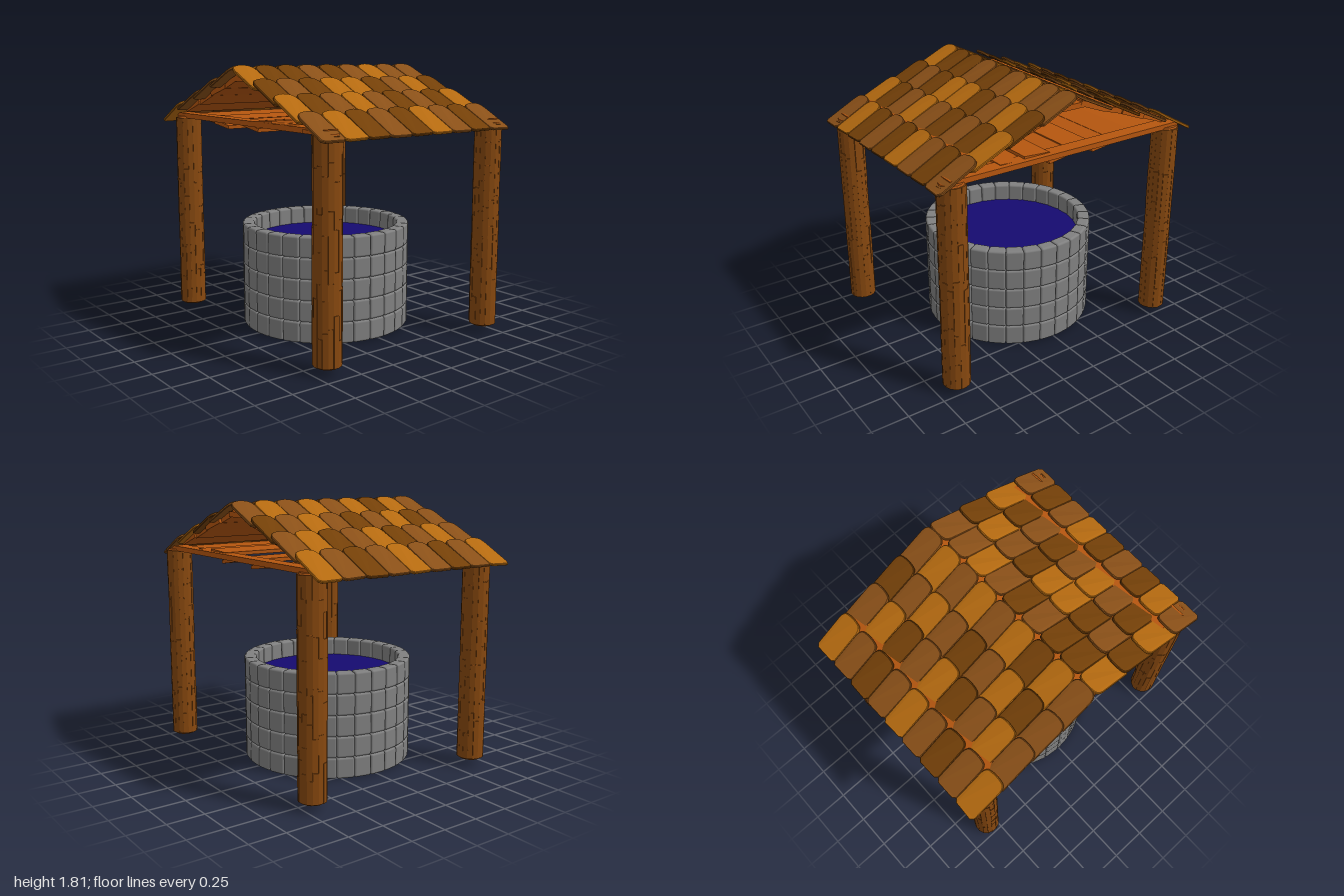
import * as THREE from 'three';
import { RoundedBoxGeometry } from 'three/addons/geometries/RoundedBoxGeometry.js';
import { mergeGeometries } from 'three/addons/utils/BufferGeometryUtils.js';

const mat = (color, flatShading = false) =>
  new THREE.MeshStandardMaterial({ color, flatShading, side: THREE.DoubleSide });

// small seeded generator
let seed = 7;
const rand = (a, b) => {
  seed = (seed * 16807) % 2147483647;
  return a + (b - a) * (seed / 2147483647);
};

function add(parent, name, geometry, material, x = 0, y = 0, z = 0) {
  const m = new THREE.Mesh(geometry, material);
  m.name = name;
  m.position.set(x, y, z);
  parent.add(m);
  return m;
}

// ring wall: 5 courses of 30 rounded, wedge-shaped stones
function makeWell() {
  const well = new THREE.Group();
  well.name = 'well';
  well.position.set(-0.012, 0, -0.01);
  const count = 30, rows = 5, rowH = 0.144, outer = 0.585, depth = 0.085;
  const stone = new RoundedBoxGeometry(0.123, rowH, depth, 2, 0.015);
  stone.translate(0, 0, outer - depth / 2);
  const p = stone.attributes.position;
  for (let i = 0; i < p.count; i++) p.setX(i, p.getX(i) * p.getZ(i) / outer);
  const grey = mat(0x808080);
  for (let r = 0; r < rows; r++) {
    for (let i = 0; i < count; i++) {
      add(well, 'stone', stone, grey, 0, rowH * (r + 0.5), 0).rotation.y = i * 2 * Math.PI / count;
    }
  }
  add(well, 'water', new THREE.CylinderGeometry(0.515, 0.515, 0.45, 30), mat(0x150a70), 0, 0.375, 0);
  return well;
}

// log post: round core wrapped in uneven bark strips
function makePost(x, z) {
  const post = new THREE.Group();
  post.name = 'post';
  post.position.set(x, 0, z);
  const core = [[0, 0.045], [0.072, 0.045], [0.084, 0.06], [0.084, 1.425], [0.075, 1.44], [0, 1.44]];
  add(post, 'postCore', new THREE.LatheGeometry(core.map(c => new THREE.Vector2(...c)), 16), mat(0xa85212, true));
  const strips = [], n = 16;
  for (let i = 0; i < n; i++) {
    let y = 0.055;
    while (y < 1.42) {
      let top = Math.min(y + rand(0.15, 0.45), 1.43);
      if (1.43 - top < 0.08) top = 1.43;
      const g = new THREE.BoxGeometry(0.036, top - y - 0.002, 0.014);
      g.translate(rand(-0.002, 0.002), (top + y) / 2, 0.082 + rand(-0.002, 0.002));
      g.rotateY(i * 2 * Math.PI / n);
      strips.push(g);
      y = top;
    }
  }
  add(post, 'bark', mergeGeometries(strips), mat(0x87480f));
  return post;
}

// planks under the roof: flat ceiling, sloping boards and tie beams
function makePlanks() {
  const planks = new THREE.Group();
  planks.name = 'planks';
  const wood = mat(0xb5560f);
  const plank = (name, y, z, tilt, width = 0.2, thick = 0.03) => {
    const m = add(planks, name, new THREE.BoxGeometry(1.4, thick, width), wood, rand(-0.01, 0.02), y, z);
    m.rotation.x = tilt;
  };
  const heights = [1.44, 1.44, 1.45, 1.46, 1.42, 1.44, 1.415, 1.435, 1.44, 1.44];
  const tilts = [0, 0, -0.05, -0.06, 0.15, 0, 0.13, 0.08, 0, 0];
  heights.forEach((y, i) => plank('ceilingPlank', y, 0.79 - i * 0.175, tilts[i], 0.19, 0.024));
  for (const side of [1, -1]) {
    [0.67, 0.49, 0.31, 0.15].forEach(z =>
      plank('slopePlank', 1.725 - 0.345 * (z - 0.08), side * z, side * rand(0.28, 0.37), 0.2, 0.035));
  }
  plank('ridgePlank', 1.725, 0, 0, 0.17, 0.035);
  for (const x of [-0.655, 0.685]) {
    add(planks, 'tieBeam', new THREE.BoxGeometry(0.1, 0.035, 1.78), wood, x, 1.445, 0.01);
  }
  return planks;
}

// shingle: slab with a rounded upper edge, sagging a little at its sides
function makeTile(length) {
  const w = 0.086, h = length / 2, j = () => rand(-0.006, 0.006);
  const s = new THREE.Shape();
  s.moveTo(-w + 0.02, -h);
  s.lineTo(w - 0.02, -h + j());
  s.lineTo(w, -h + 0.02);
  s.lineTo(w + j() / 2, h - 0.06);
  s.quadraticCurveTo(w - 0.005, h - 0.012, w - 0.035, h - 0.006);
  s.quadraticCurveTo(0, h + 0.008, -w + 0.035, h - 0.006 + j() / 2);
  s.quadraticCurveTo(-w + 0.005, h - 0.012, -w, h - 0.06);
  s.lineTo(-w, -h + 0.02);
  const g = new THREE.ExtrudeGeometry(s, {
    depth: 0.01, bevelEnabled: true, bevelThickness: 0.004, bevelSize: 0.004,
    bevelOffset: -0.004, bevelSegments: 1, curveSegments: 4,
  });
  const p = g.attributes.position;
  for (let i = 0; i < p.count; i++) p.setZ(i, p.getZ(i) - 0.014 - 1.2 * p.getX(i) ** 2);
  g.computeVertexNormals();
  return g;
}

// one roof slope: 4 rows of 9 shingles, each row lapping over the one above
function makeSlope(name, colours) {
  const slope = new THREE.Group();
  slope.name = name;
  const shades = { L: mat(0xb56a10, true), M: mat(0x8a5018, true), D: mat(0x744008, true) };
  // upper z, upper y, lower z, lower y
  const rows = [
    [0, 1.815, 0.29, 1.68],
    [0.24, 1.735, 0.53, 1.592],
    [0.465, 1.65, 0.77, 1.503],
    [0.72, 1.56, 0.995, 1.413],
  ];
  rows.forEach(([z0, y0, z1, y1], r) => {
    const length = Math.hypot(z1 - z0, y0 - y1);
    const pitch = Math.atan2(y0 - y1, z1 - z0);
    for (let c = 0; c < 9; c++) {
      const tile = add(slope, 'shingle', makeTile(length), shades[colours[r][c]],
        (c - 4) * 0.1705, (y0 + y1) / 2, (z0 + z1) / 2);
      tile.rotation.x = pitch - Math.PI / 2;
      tile.rotation.z = rand(-0.015, 0.015);
    }
  });
  return slope;
}

export function createModel() {
  const model = new THREE.Group();
  model.name = 'coveredWell';
  model.add(makeWell(), makePlanks());
  for (const x of [-0.655, 0.685]) for (const z of [0.866, -0.812]) model.add(makePost(x, z));

  const roof = new THREE.Group();
  roof.name = 'roof';
  roof.position.x = -0.01;
  const front = makeSlope('frontSlope', ['LDDMDMLMM', 'DMDLLDMLD', 'LDMLMDMDL', 'MLDMDLMDM']);
  const back = makeSlope('backSlope', ['MLMLMLDLM', 'DMLMDMLDM', 'MLDMLDMLM', 'LMDMLMDML']);
  back.rotation.y = Math.PI;
  roof.add(front, back);
  model.add(roof);
  return model;
}
